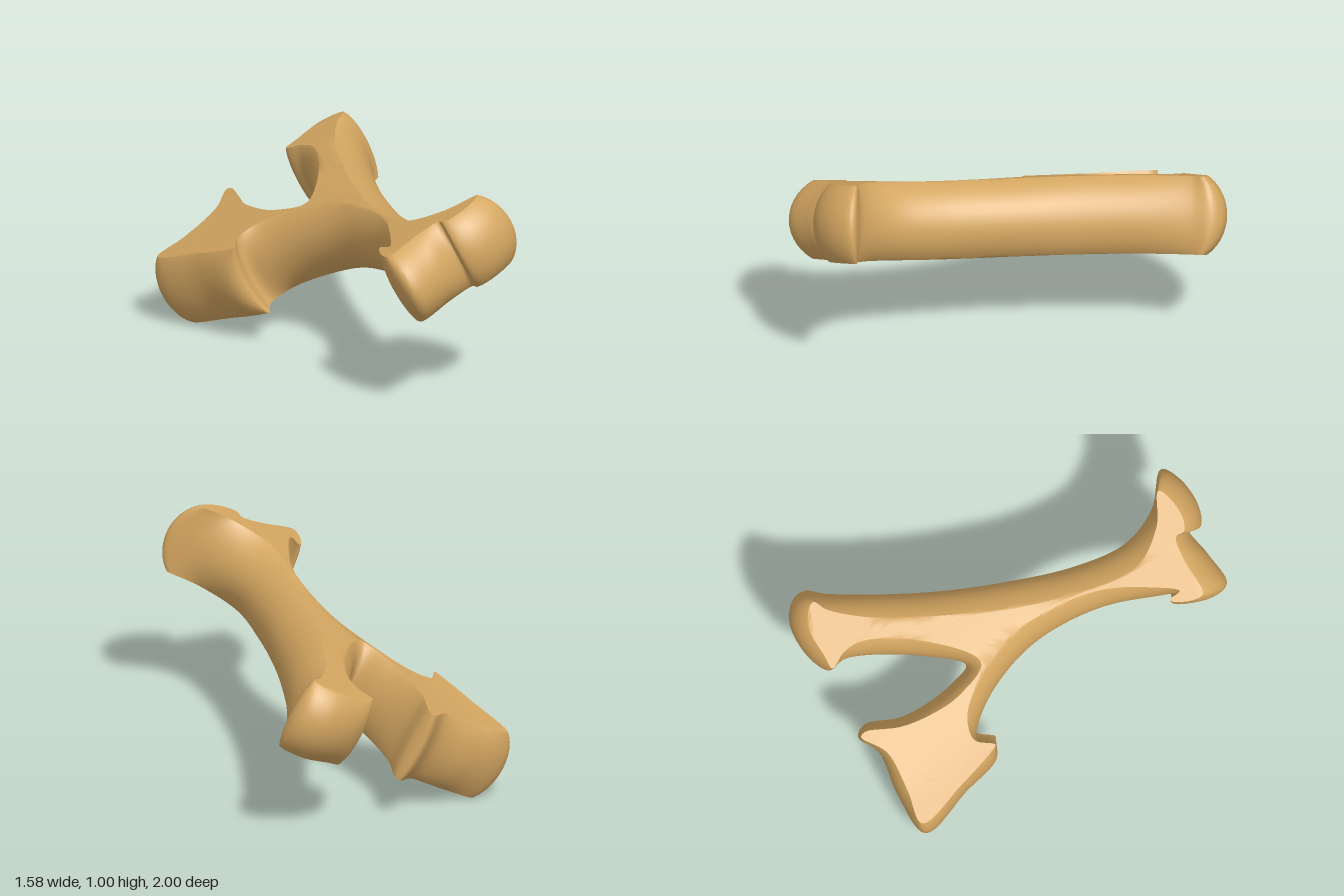
import * as THREE from 'three';
import { toCreasedNormals } from 'three/addons/utils/BufferGeometryUtils.js';

// Outline of the three-armed bracket in its own plane, clockwise from above:
// [u, w] at mid thickness, then [u, w] at the upper and lower faces.
const backArm = [
  [0.155, -0.19, 0.185, -0.12], [0.195, -0.4, 0.285, -0.4], [0.195, -0.65, 0.28, -0.66],
  [0.175, -0.75, 0.225, -0.75], [0.125, -0.82, 0.15, -0.8], [0.19, -0.92, 0.21, -0.84],
  [0.33, -1.0, 0.33, -0.91], [0.44, -0.99, 0.43, -0.91], [0.482, -0.94, 0.455, -0.89],
  [0.472, -0.84, 0.42, -0.83], [0.473, -0.6, 0.385, -0.6], [0.493, -0.3, 0.4, -0.3],
];
const frontArm = [
  [0.54, 0, 0.435, 0.02], [0.612, 0.3, 0.515, 0.34], [0.72, 0.53, 0.63, 0.585],
  [0.88, 0.65, 0.82, 0.675], [1.065, 0.69, 0.985, 0.68], [1.02, 0.78, 0.95, 0.735],
  [0.9, 0.865, 0.86, 0.795], [0.805, 0.875, 0.8, 0.8], [0.785, 0.825, 0.775, 0.765],
  [0.68, 0.91, 0.67, 0.8], [0.545, 1.0, 0.515, 0.89], [0.485, 0.94, 0.487, 0.855],
  [0.45, 0.77, 0.475, 0.755], [0.46, 0.748, 0.485, 0.74], [0.498, 0.795, 0.525, 0.785],
  [0.48, 0.66, 0.54, 0.66],
  [0.435, 0.45, 0.525, 0.42], [0.345, 0.25, 0.43, 0.19], [0.23, 0.09, 0.3, 0.0],
];
const sideArm = [
  [0.06, -0.05, 0.1, -0.13], [-0.1, -0.125, -0.07, -0.18], [-0.195, -0.135, -0.175, -0.145],
  [-0.225, -0.05, -0.195, -0.05], [-0.28, -0.045, -0.23, -0.07], [-0.43, -0.18, -0.38, -0.2],
  [-0.625, -0.365, -0.563, -0.38], [-0.45, -0.495, -0.41, -0.45], [-0.25, -0.585, -0.235, -0.545],
  [-0.18, -0.68, -0.165, -0.665], [-0.13, -0.645, -0.14, -0.645], [-0.1, -0.5, -0.115, -0.48],
  [-0.03, -0.37, -0.055, -0.34], [0.06, -0.26, 0.03, -0.22],
];

const HALF = 0.18;    // half thickness across the plane
const STEPS = 360;    // samples round the outline
const LAYERS = 18;    // samples through the thickness
const { smoothstep } = THREE.MathUtils;

function sampleOutline(offset) {
  const points = [...backArm, ...frontArm, ...sideArm]
    .map(p => new THREE.Vector3(p[offset], 0, p[offset + 1]));
  const curve = new THREE.CatmullRomCurve3(points, true, 'centripetal');
  return Array.from({ length: STEPS }, (_, i) => curve.getPoint(i / STEPS));
}

// The rear ends rise a little out of the plane, the outer corner does not
const rise = (u, w) => 0.04 * smoothstep(-w, -0.6, 0.7) * smoothstep(u - 0.8 * w, -0.15, 0.45);

function bracketGeometry() {
  const middle = sampleOutline(0), face = sampleOutline(2);
  const position = [];
  const put = (p, h) => position.push(p.x, h + rise(p.x, p.z), p.z);

  // Stacked outlines, widest at mid thickness
  const layers = [];
  for (let k = 0; k <= LAYERS; k++) {
    const t = -Math.cos(Math.PI * k / LAYERS);
    const f = (1 - Math.sqrt(1 - 0.7 * t * t)) / (1 - Math.sqrt(0.3));
    layers.push({ h: t * HALF, ring: middle.map((p, i) => p.clone().lerp(face[i], f)) });
  }
  for (let k = 0; k < LAYERS; k++) {
    const lo = layers[k], hi = layers[k + 1];
    for (let i = 0; i < STEPS; i++) {
      const j = (i + 1) % STEPS;
      put(lo.ring[j], lo.h); put(lo.ring[i], lo.h); put(hi.ring[i], hi.h);
      put(lo.ring[j], lo.h); put(hi.ring[i], hi.h); put(hi.ring[j], hi.h);
    }
  }

  // Upper and lower faces, split at the longest edge until fine
  const fill = (a, b, c) => {
    const ab = a.distanceTo(b), bc = b.distanceTo(c), ca = c.distanceTo(a);
    const longest = Math.max(ab, bc, ca);
    if (longest < ab + 1e-9 && longest > 0.09) {
      const m = a.clone().add(b).multiplyScalar(0.5);
      fill(a, m, c);
      fill(m, b, c);
    } else if (longest > 0.09) {
      fill(b, c, a);
    } else {
      put(a, HALF); put(b, HALF); put(c, HALF);
      put(a, -HALF); put(c, -HALF); put(b, -HALF);
    }
  };
  const flat = face.map(p => new THREE.Vector2(p.x, -p.z));
  for (const [a, b, c] of THREE.ShapeUtils.triangulateShape(flat, [])) {
    const [p, q, s] = [flat[a], flat[b], flat[c]];
    const ccw = (q.x - p.x) * (s.y - p.y) - (q.y - p.y) * (s.x - p.x) > 0;
    fill(face[a], face[ccw ? b : c], face[ccw ? c : b]);
  }

  const g = new THREE.BufferGeometry();
  g.setAttribute('position', new THREE.Float32BufferAttribute(position, 3));
  return toCreasedNormals(g, 0.65);
}

export function createModel() {
  const model = new THREE.Group();
  model.name = 'branchedBracket';
  const tan = new THREE.MeshStandardMaterial({ color: 0xd4a661 });
  tan.name = 'tan';

  // The whole bracket leans about the front-to-back axis
  const lean = Math.atan2(0.44, 0.9), mid = 0.455;
  const bracket = new THREE.Mesh(bracketGeometry(), tan);
  bracket.name = 'threeArmedBody';
  bracket.rotation.z = lean;
  bracket.position.set(-Math.sin(lean) * mid, Math.cos(lean) * mid, 0);
  model.add(bracket);
  return model;
}
